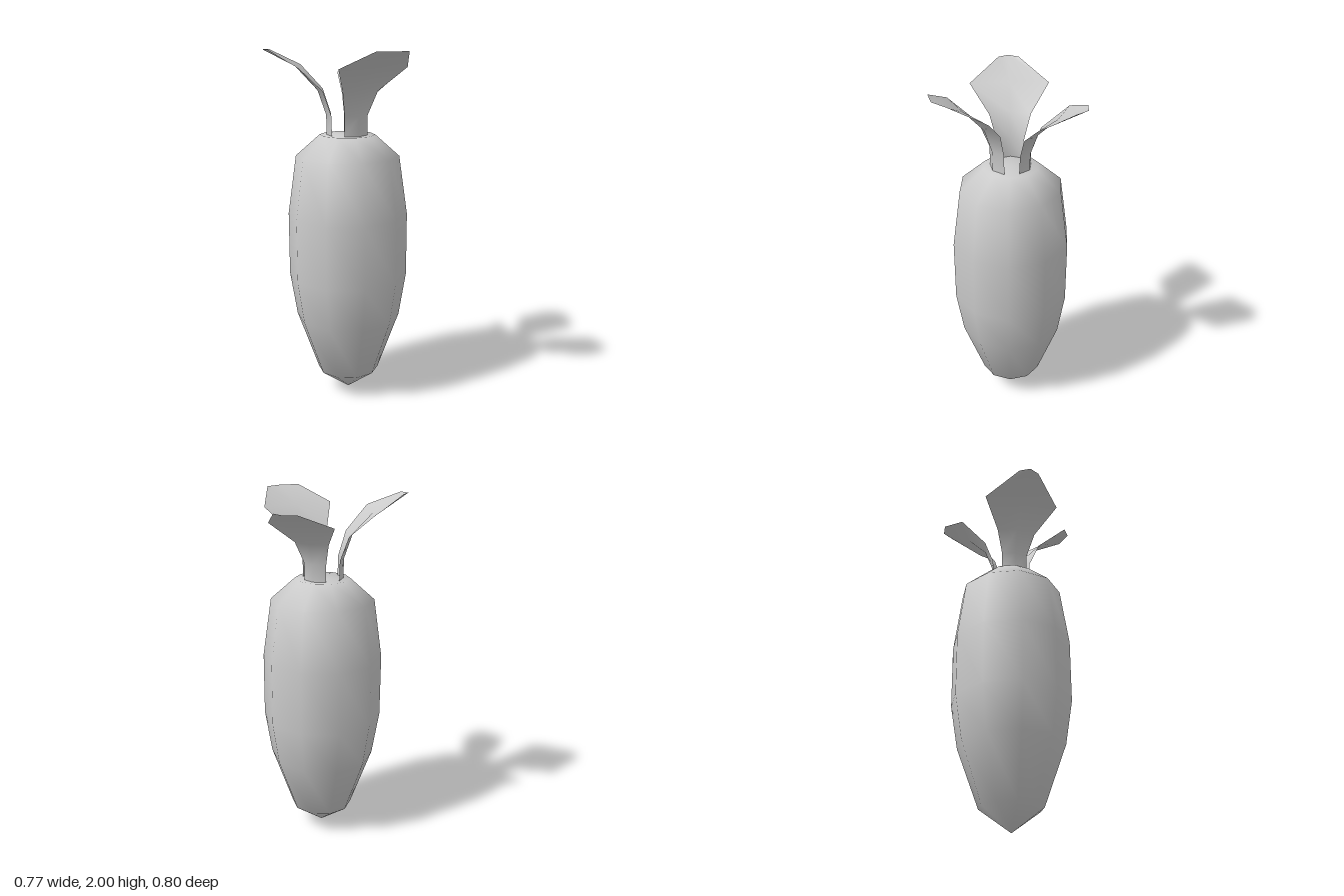
import * as THREE from 'three';

const material = new THREE.MeshStandardMaterial({ color: 0xcccccc, side: THREE.DoubleSide });

// Root: ten-sided smooth lathe, pointed at the bottom and flat on top
function createRoot() {
  const profile = [
    [0, 0], [0.177, 0.13], [0.3, 0.47], [0.34, 0.72], [0.34, 1.08],
    [0.292, 1.415], [0.156, 1.535], [0, 1.535],
  ].map(([r, y]) => new THREE.Vector2(r, y));
  const root = new THREE.Mesh(new THREE.LatheGeometry(profile, 10), material);
  root.name = 'root';
  return root;
}

// Leaf: rows of three points, folded along the middle and bending outwards
function createLeaf(name, angle, { width = 1, height = 1, reach = 1, tipWidth }) {
  // each row: full width, height above the root, distance out at the edges, fold depth
  const rows = [
    [0.15, 0, 0.088, 0.028],
    [0.15, 0.11, 0.09, 0.028],
    [0.228, 0.245, 0.134, 0.03],
    [0.437, 0.375, 0.26, 0.025],
    [tipWidth / width, 0.465, 0.428, 0.032],
  ];
  const positions = [];
  const indices = [];
  rows.forEach(([w, y, out, fold], row) => {
    for (const side of [-1, 0, 1]) {
      const z = 0.09 + (out - 0.09) * reach + (side === 0 ? fold : 0);
      positions.push(side * w * width / 2, 1.535 + y * height, z);
    }
    if (row === 0) return;
    for (let col = 0; col < 2; col++) {
      const a = (row - 1) * 3 + col;
      indices.push(a, a + 1, a + 4, a, a + 4, a + 3);
    }
  });
  const geometry = new THREE.BufferGeometry();
  geometry.setAttribute('position', new THREE.Float32BufferAttribute(positions, 3));
  geometry.setIndex(indices);
  geometry.computeVertexNormals();
  const leaf = new THREE.Mesh(geometry, material);
  leaf.name = name;
  leaf.rotation.y = angle;
  return leaf;
}

export function createModel() {
  const model = new THREE.Group();
  model.name = 'rootVegetable';

  const body = new THREE.Group();
  body.name = 'body';
  body.position.set(-0.047, 0, -0.031);
  body.add(
    createRoot(),
    createLeaf('frontLeaf', -0.34, { tipWidth: 0.207 }),
    createLeaf('backRightLeaf', -2.441, { tipWidth: 0.114 }),
    createLeaf('leftLeaf', 1.752, { width: 0.9, height: 0.87, reach: 0.94, tipWidth: 0.142 }),
  );
  model.add(body);
  return model;
}
